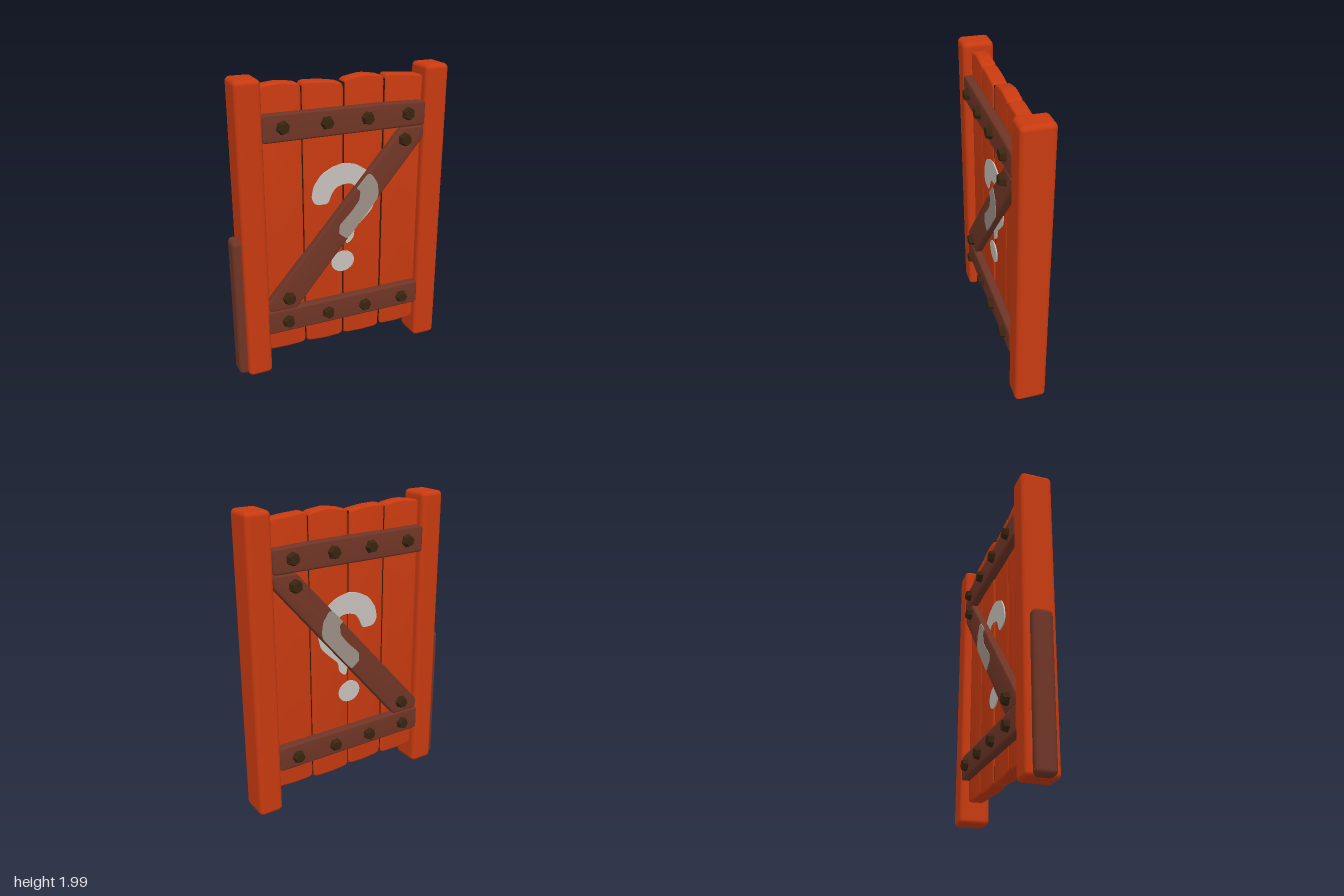
import * as THREE from 'three';
import { toCreasedNormals } from 'three/addons/utils/BufferGeometryUtils.js';
import { RoundedBoxGeometry } from 'three/addons/geometries/RoundedBoxGeometry.js';

const material = (name, color) => {
  const m = new THREE.MeshStandardMaterial({ color });
  m.name = name;
  return m;
};

// Closed outline with softened corners
function softOutline(points, r) {
  const p = points.map(([x, y]) => new THREE.Vector2(x, y));
  const n = p.length;
  const toward = (a, b) => a.clone().lerp(b, Math.min(0.5, r / a.distanceTo(b)));
  const shape = new THREE.Shape();
  p.forEach((c, i) => {
    const a = toward(c, p[(i + n - 1) % n]);
    const b = toward(c, p[(i + 1) % n]);
    if (i === 0) shape.moveTo(a.x, a.y);
    else shape.lineTo(a.x, a.y);
    shape.quadraticCurveTo(c.x, c.y, b.x, b.y);
  });
  shape.closePath();
  return shape;
}

// Board with rounded edges, centred on z = 0
function boardGeometry(points, depth, r, bevel) {
  const g = new THREE.ExtrudeGeometry(softOutline(points, r), {
    depth: depth - 2 * bevel, curveSegments: 4, bevelEnabled: bevel > 0,
    bevelSize: bevel, bevelOffset: -bevel, bevelThickness: bevel, bevelSegments: 3,
  });
  g.translate(0, 0, bevel - depth / 2);
  return toCreasedNormals(g, 0.7);
}

export function createModel() {
  const red = material('redWood', 0xc83a10);
  const brown = material('brownWood', 0x6f3526);
  const iron = material('darkIron', 0x38240f);
  const gap = material('darkGap', 0x32190a);
  const paint = material('palePaint', 0xc6c1bb);
  const wornPaint = material('wornPaint', 0x9c9086);

  const model = new THREE.Group();
  model.name = 'woodenGate';
  const add = (name, geometry, mat, x = 0, y = 0, z = 0) => {
    const mesh = new THREE.Mesh(geometry, mat);
    mesh.name = name;
    mesh.position.set(x, y, z);
    model.add(mesh);
    return mesh;
  };

  // Side posts and the half-height stop board on the outer side
  const post = new RoundedBoxGeometry(0.165, 1.99, 0.208, 3, 0.03);
  add('rightPost', post, red, -0.604, 1.002);
  add('leftPost', post, red, 0.657, 1.002);
  add('stopBoard', new RoundedBoxGeometry(0.1, 0.98, 0.13, 3, 0.03), brown, -0.69, 0.5);

  // Planks: left x, right x, top at left/middle/right, bottom at left/right, z shift
  const planks = [
    [-0.53, -0.257, 1.945, 1.96, 1.942, 0.148, 0.145, -0.002],
    [-0.253, 0.02, 1.95, 1.945, 1.925, 0.15, 0.142, 0.002],
    [0.025, 0.304, 1.94, 1.965, 1.945, 0.14, 0.135, -0.004],
    [0.309, 0.585, 1.955, 1.945, 1.93, 0.145, 0.152, 0],
  ];
  planks.forEach(([l, r, tl, tm, tr, bl, br, z], i) => {
    const outline = [
      [l, bl], [(l + r) / 2, Math.min(bl, br) - 0.005], [r, br],
      [r, tr], [(l + r) / 2, tm], [l, tl],
    ];
    add('plank' + (i + 1), boardGeometry(outline, 0.095, 0.035, 0.012), red, 0, 0, z);
  });

  // Dark seams between planks
  [-0.255, 0.0225, 0.3065].forEach((x) =>
    add('seam', new THREE.BoxGeometry(0.018, 1.76, 0.082), gap, x, 1.045));

  // Crossbars and diagonal brace
  const topBar = boardGeometry(
    [[-0.53, 1.61], [0.578, 1.612], [0.578, 1.77], [0.3, 1.78], [-0.53, 1.785]], 0.06, 0.025, 0.012);
  const bottomBar = boardGeometry(
    [[-0.538, 0.298], [0.58, 0.298], [0.58, 0.466], [-0.538, 0.466]], 0.06, 0.025, 0.012);
  const brace = boardGeometry(
    [[-0.535, 0.525], [0.42, 1.607], [0.575, 1.607], [0.575, 1.53], [-0.335, 0.46], [-0.52, 0.46]],
    0.057, 0.02, 0.01);

  // Painted hook, its worn part over the brace, and the spot below it
  const hook = boardGeometry([
    [-0.204, 1.2], [-0.188, 1.278], [-0.135, 1.353], [-0.056, 1.395], [0.024, 1.411],
    [0.114, 1.39], [0.193, 1.337], [0.246, 1.257], [0.257, 1.156], [0.235, 1.066],
    [0.167, 0.997], [0.103, 0.939], [0.098, 0.875], [0.045, 0.833], [0.029, 0.897],
    [-0.029, 0.95], [-0.024, 1.003], [0.061, 1.088], [0.114, 1.156], [0.119, 1.22],
    [0.082, 1.265], [0.024, 1.268], [-0.034, 1.252], [-0.066, 1.204], [-0.088, 1.146],
    [-0.177, 1.151],
  ], 0.008, 0.025, 0);
  const wornHook = boardGeometry([
    [0.174, 1.327], [0.2, 1.325], [0.243, 1.262], [0.255, 1.19], [0.245, 1.148],
    [0.05, 0.918], [0.025, 0.9], [-0.031, 0.945], [-0.026, 1.003], [0.061, 1.088],
    [0.114, 1.156], [0.121, 1.22], [0.093, 1.24],
  ], 0.006, 0.012, 0);
  const spot = toCreasedNormals(
    new THREE.CylinderGeometry(1, 1, 0.008, 24).rotateX(Math.PI / 2).scale(0.084, 0.075, 1), 0.7);

  // Six-sided bolt heads
  const bolt = toCreasedNormals(new THREE.CylinderGeometry(0.034, 0.048, 0.042, 6), 0.2);
  const boltSpots = [[0.435, 1.53], [-0.39, 0.545]];
  [-0.4, -0.113, 0.163, 0.45].forEach((x) => boltSpots.push([x, 1.7], [x, 0.375]));

  // Fittings and paint repeat on both faces
  for (const side of [1, -1]) {
    add('topBar', topBar, brown, 0, 0, side * 0.073);
    add('bottomBar', bottomBar, brown, 0, 0, side * 0.073);
    add('diagonalBrace', brace, brown, 0, 0, side * 0.07);
    add('paintedHook', hook, paint, 0, 0, side * 0.05);
    add('wornPaintedHook', wornHook, wornPaint, 0, 0, side * 0.099);
    add('paintedSpot', spot, paint, 0.018, 0.715, side * 0.05);
    boltSpots.forEach(([x, y], i) => {
      const head = add('bolt', bolt, iron, x, y, side * 0.116);
      head.rotation.set(side * Math.PI / 2, i * 0.4, 0);
    });
  }
  return model;
}
